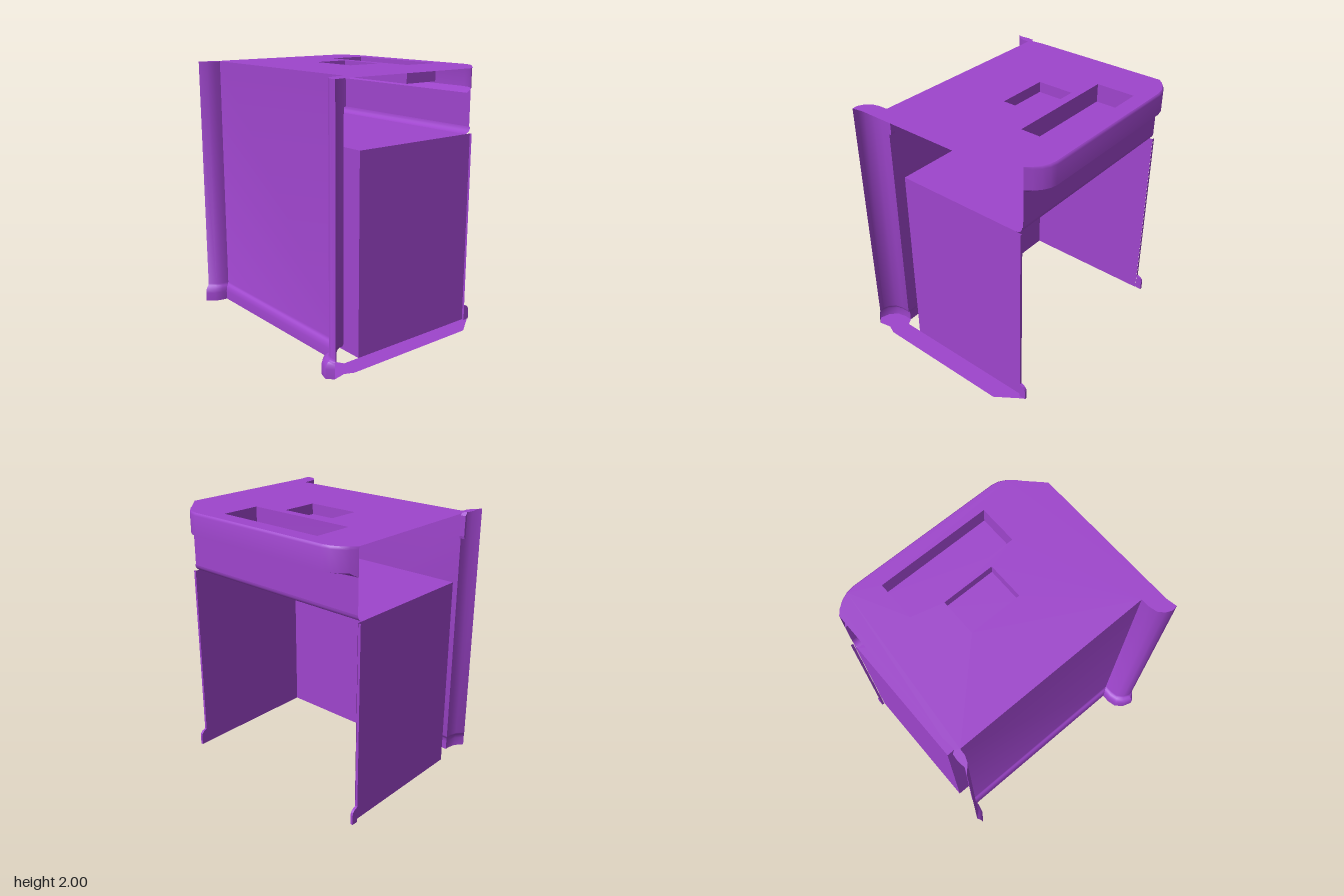
import * as THREE from 'three';
import { toCreasedNormals } from 'three/addons/utils/BufferGeometryUtils.js';

export function createModel() {
  const model = new THREE.Group();
  const mat = new THREE.MeshStandardMaterial({ color: 0x9e45cc, side: THREE.DoubleSide });

  const add = (name, geometry) => {
    const mesh = new THREE.Mesh(geometry, mat);
    mesh.name = name;
    model.add(mesh);
    return mesh;
  };

  // Skin between rows of [x, y, z] points
  const loft = (name, rows) => {
    const n = rows[0].length, index = [];
    for (let i = 0; i < rows.length - 1; i++) {
      for (let j = 0; j < n - 1; j++) {
        const a = i * n + j, b = a + 1, c = a + n, d = c + 1;
        index.push(a, b, c, b, d, c);
      }
    }
    const g = new THREE.BufferGeometry();
    g.setAttribute('position', new THREE.Float32BufferAttribute(rows.flat(2), 3));
    g.setIndex(index);
    return add(name, toCreasedNormals(g, 0.7));
  };

  // Horizontal sheet from an [x, z] outline, with optional holes
  const sheet = (name, y, outline, holes = []) => {
    const pts = (list) => list.map(([x, z]) => new THREE.Vector2(x, -z));
    const shape = new THREE.Shape(pts(outline));
    holes.forEach((h) => shape.holes.push(new THREE.Path(pts(h))));
    const g = new THREE.ShapeGeometry(shape);
    g.rotateX(-Math.PI / 2);
    g.translate(0, y, 0);
    return add(name, g);
  };
  const atY = (path, y) => path.map(([x, z]) => [x, y, z]);
  const rect = (x0, x1, z0, z1) => [[x0, z0], [x1, z0], [x1, z1], [x0, z1]];

  // Side wall plan: front quarter-round column, flat wall, rear hook; then its flared foot
  const wall = [[-0.735, 0.885], [-0.74, 0.84], [-0.72, 0.795], [-0.68, 0.757], [-0.62, 0.742],
    [-0.55, 0.74], [-0.55, -0.82], [-0.6, -0.822], [-0.65, -0.842], [-0.7, -0.89]];
  const foot = [[-0.745, 0.89], [-0.79, 0.845], [-0.767, 0.77], [-0.715, 0.717], [-0.645, 0.7],
    [-0.58, 0.7], [-0.58, -0.8], [-0.62, -0.802], [-0.68, -0.817], [-0.74, -0.865]];
  const flare = [[2, 0], [0.14, 0], [0.125, 0.15], [0.117, 0.45], [0.1, 0.8], [0.07, 1], [0, 1]];
  loft('sideWall', flare.map(([y, t]) => wall.map(([x, z], i) =>
    [x + (foot[i][0] - x) * t, y, z + (foot[i][1] - z) * t])));

  // Overhanging rounded lip on the open side, recess under it and cove below
  const lip = [[0.66, -0.86], [0.705, -0.825], [0.745, -0.775], [0.772, -0.72], [0.783, -0.66],
    [0.783, 0.56], [0.772, 0.61], [0.745, 0.66], [0.705, 0.705], [0.66, 0.74]];
  const lipRow = (y, k) => lip.map(([x, z]) => [0.66 + (x - 0.66) * k, y, z]);
  loft('lip', [lipRow(2, 0.9), lipRow(1.994, 0.96), lipRow(1.98, 1), lipRow(1.83, 1),
    lipRow(1.8, 0), lipRow(1.55, 0)]);
  const cove = [];
  for (let i = 0; i <= 5; i++) {
    const a = (i / 5) * Math.PI / 2;
    const x = 0.61 + 0.05 * Math.cos(a), y = 1.55 - 0.05 * Math.sin(a);
    cove.push([[x, y, -0.86], [x, y, 0.75]]);
  }
  loft('cove', cove);

  // Top panel with two sunk trays
  const trays = [
    { name: 'smallTray', outline: rect(0, 0.285, -0.27, 0.14), y: 1.92 },
    { name: 'longTray', outline: rect(0.35, 0.655, -0.51, 0.38), y: 1.86 },
  ];
  const roof = [...wall, [-0.66, -0.872], [-0.6, -0.88], [-0.545, -0.875], [-0.53, -0.85],
    [-0.42, -0.86], ...lip.map(([x, z]) => [0.66 + (x - 0.66) * 0.9, z]),
    [0.53, 0.87], [-0.58, 0.87], [-0.65, 0.87]];
  sheet('topPanel', 2, roof, trays.map((t) => t.outline));
  for (const t of trays) {
    const loop = [...t.outline, t.outline[0]];
    loft(t.name + 'Sides', [atY(loop, 2), atY(loop, t.y)]);
    sheet(t.name + 'Floor', t.y, t.outline);
  }

  // Inner compartment, open on one side and underneath
  const inner = [[0.66, 0.75], [-0.42, 0.75], [-0.42, -0.86], [0.66, -0.86]];
  loft('compartmentWalls', [atY(inner, 1.5), atY(inner, 0)]);
  sheet('compartmentTop', 1.5, rect(-0.42, 0.61, -0.86, 0.75));

  // Narrow flanges with bulging feet on the compartment's open edges
  const toe = new THREE.Shape([[0.66, 0], [0.71, 0], [0.71, 0.075], [0.705, 0.095],
    [0.69, 0.113], [0.66, 0.125]].map(([x, y]) => new THREE.Vector2(x, y)));
  for (const z of [0.748, -0.883]) {
    const edge = [[0.66, z], [0.66, z + 0.02]];
    loft('edgeFlange', [atY(edge, 1.5), atY(edge, 0)]);
    const g = new THREE.ExtrudeGeometry(toe, { depth: 0.02, bevelEnabled: false });
    g.translate(0, 0, z);
    add('flangeFoot', g);
  }

  // Floor ledge in front of the compartment, running under the column
  sheet('floorLedge', 0, [...foot.slice(0, 6), [-0.55, 0.75], [0.66, 0.75], [0.71, 0.76],
    [0.51, 0.9], [-0.58, 0.9], [-0.65, 0.87]]);

  // Small clips at the top corners of the side wall
  const clip = new THREE.Shape([[-0.55, 1.8], [-0.535, 1.8], [-0.53, 1.82], [-0.53, 1.97],
    [-0.55, 1.995]].map(([x, y]) => new THREE.Vector2(x, y)));
  for (const z of [0.7, -0.86]) {
    const g = new THREE.ExtrudeGeometry(clip, { depth: 0.04, bevelEnabled: false });
    g.translate(0, 0, z);
    add('cornerClip', g);
  }

  return model;
}
